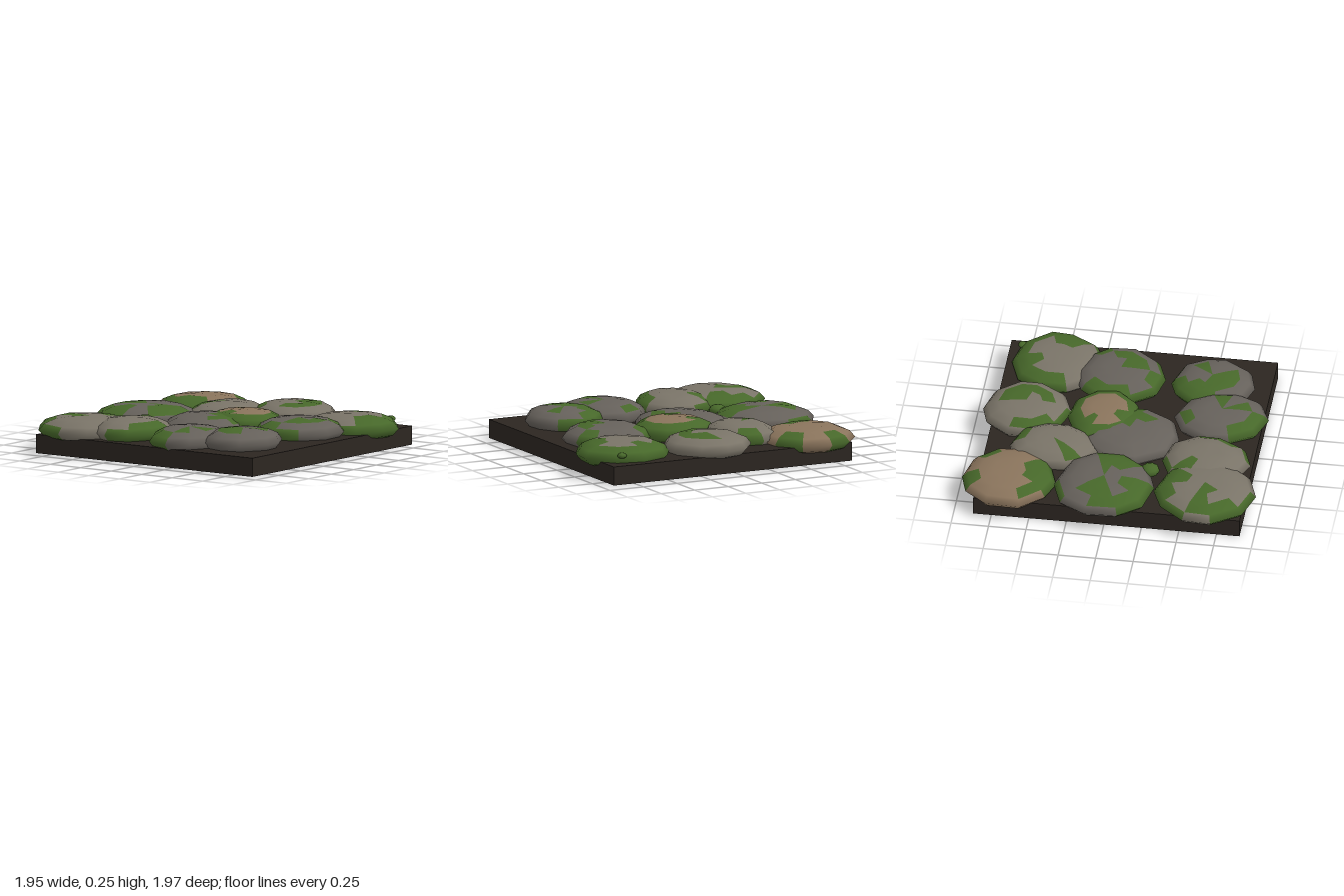
import * as THREE from 'three';

const SIDES = 10;
// Stone cross-section from top to bottom: [radius, height]
const PROFILE = [[0, 1], [0.35, 0.97], [0.65, 0.85], [0.89, 0.48], [1, 0], [0.87, -0.5], [0.6, -0.87], [0, -1]];

const GREY = 0x7a7468, DARK = 0x66615b, BROWN = 0x8a745c, MOSS = 0x47682a, SOIL = 0x2c2621;

// x, z, radius x, radius z, centre y, colour, mossy rings for each of the ten
// sectors (from +x towards +z; 0 is the crown, 3 the rim, - is bare)
const STONES = [
  [-0.64, -0.63, 0.34, 0.345, 0.155, GREY, '123 - - - - 3 023 012 3 23'],
  [0.03, -0.65, 0.345, 0.35, 0.155, DARK, '- - 012 12 - 123 23 012 01 3'],
  [0.66, -0.64, 0.315, 0.32, 0.14, BROWN, '- 23 - - 123 123 2 - - 23'],
  [-0.595, -0.31, 0.295, 0.265, 0.165, GREY, '- - 23 23 3 - 3 - 12 3'],
  [-0.06, -0.085, 0.33, 0.315, 0.148, DARK, '- 012 012 1 - - - - - -'],
  [0.42, -0.28, 0.3, 0.24, 0.155, GREY, '23 - - - - - 012 - - -'],
  [0.13, 0.08, 0.245, 0.285, 0.167, BROWN, '23 23 23 23 23 123 23 23 123 23'],
  [0.655, 0.1, 0.295, 0.305, 0.16, GREY, '01 01 01 1 1 3 23 2 - -'],
  [-0.635, 0.19, 0.315, 0.27, 0.155, DARK, '- - 01 - 01 23 23 - - 2'],
  [-0.52, 0.545, 0.28, 0.265, 0.164, DARK, '3 01 - - 01 01 01 0123 123 23'],
  [0.09, 0.55, 0.305, 0.3, 0.16, DARK, '3 23 1 01 013 23 3 23 23 -'],
  [0.525, 0.665, 0.315, 0.325, 0.143, GREY, '23 23 123 123 3 - - 23 23 123'],
];

function seeded(seed) {
  return () => {
    seed = (seed * 16807) % 2147483647;
    return seed / 2147483647;
  };
}

// One flattened boulder; stone and moss share vertices and smooth normals
function makeStone([x, z, rx, rz, y, color, mossText], index) {
  const random = seeded(index * 977 + 31);
  const wobble = Array.from({ length: SIDES }, () => [(random() - 0.5) * 0.2, 0.96 + random() * 0.07]);
  const moss = mossText.split(' ');
  const positions = [];
  for (const [r, h] of PROFILE) {
    for (let i = 0; i < SIDES; i++) {
      const angle = (i / SIDES) * Math.PI * 2 + wobble[i][0];
      const radius = r * wobble[i][1];
      const lift = r > 0 && r < 1 ? (random() - 0.5) * 0.006 : 0;
      positions.push(Math.cos(angle) * radius * rx, h * 0.086 + lift, Math.sin(angle) * radius * rz);
    }
  }
  const faces = { stone: [], moss: [] };
  const last = PROFILE.length - 2;
  for (let ring = 0; ring <= last; ring++) {
    for (let i = 0; i < SIDES; i++) {
      const next = (i + 1) % SIDES;
      // Poles collapse to one shared vertex
      const a = ring === 0 ? 0 : ring * SIDES + i;
      const b = ring * SIDES + next;
      const c = ring === last ? (last + 1) * SIDES : (ring + 1) * SIDES + i;
      const d = (ring + 1) * SIDES + next;
      // Moss on the rim carries on below it
      const target = moss[i].includes(String(Math.min(ring, 3))) ? faces.moss : faces.stone;
      if (ring < last) target.push(a, d, c);
      if (ring > 0) target.push(a, b, ring === last ? c : d);
    }
  }
  const base = new THREE.BufferGeometry();
  base.setAttribute('position', new THREE.Float32BufferAttribute(positions, 3));
  base.setIndex([...faces.stone, ...faces.moss]);
  base.computeVertexNormals();

  const group = new THREE.Group();
  group.name = 'cobblestone';
  group.position.set(x, y, z);
  for (const [name, faceColor] of [['stone', color], ['moss', MOSS]]) {
    const geometry = new THREE.BufferGeometry();
    geometry.setAttribute('position', base.getAttribute('position'));
    geometry.setAttribute('normal', base.getAttribute('normal'));
    geometry.setIndex(faces[name]);
    const mesh = new THREE.Mesh(geometry, new THREE.MeshStandardMaterial({ color: faceColor }));
    mesh.name = name;
    group.add(mesh);
  }
  return group;
}

export function createModel() {
  const model = new THREE.Group();
  model.name = 'mossyCobblestones';

  // Soil slab under the stones
  const slab = new THREE.Mesh(
    new THREE.BoxGeometry(1.775, 0.125, 1.775),
    new THREE.MeshStandardMaterial({ color: SOIL })
  );
  slab.name = 'soilSlab';
  slab.position.set(-0.017, 0.0625, 0.015);
  model.add(slab);

  STONES.forEach((stone, i) => model.add(makeStone(stone, i + 1)));

  // Small moss tufts
  for (const [x, y, z, r, h] of [[-0.25, 0.175, -0.46, 0.063, 0.04], [0.78, 0.175, 0.795, 0.032, 0.02]]) {
    const tuft = new THREE.Mesh(
      new THREE.SphereGeometry(r, 9, 6),
      new THREE.MeshStandardMaterial({ color: MOSS })
    );
    tuft.name = 'mossTuft';
    tuft.scale.y = h / r;
    tuft.position.set(x, y, z);
    model.add(tuft);
  }
  return model;
}
